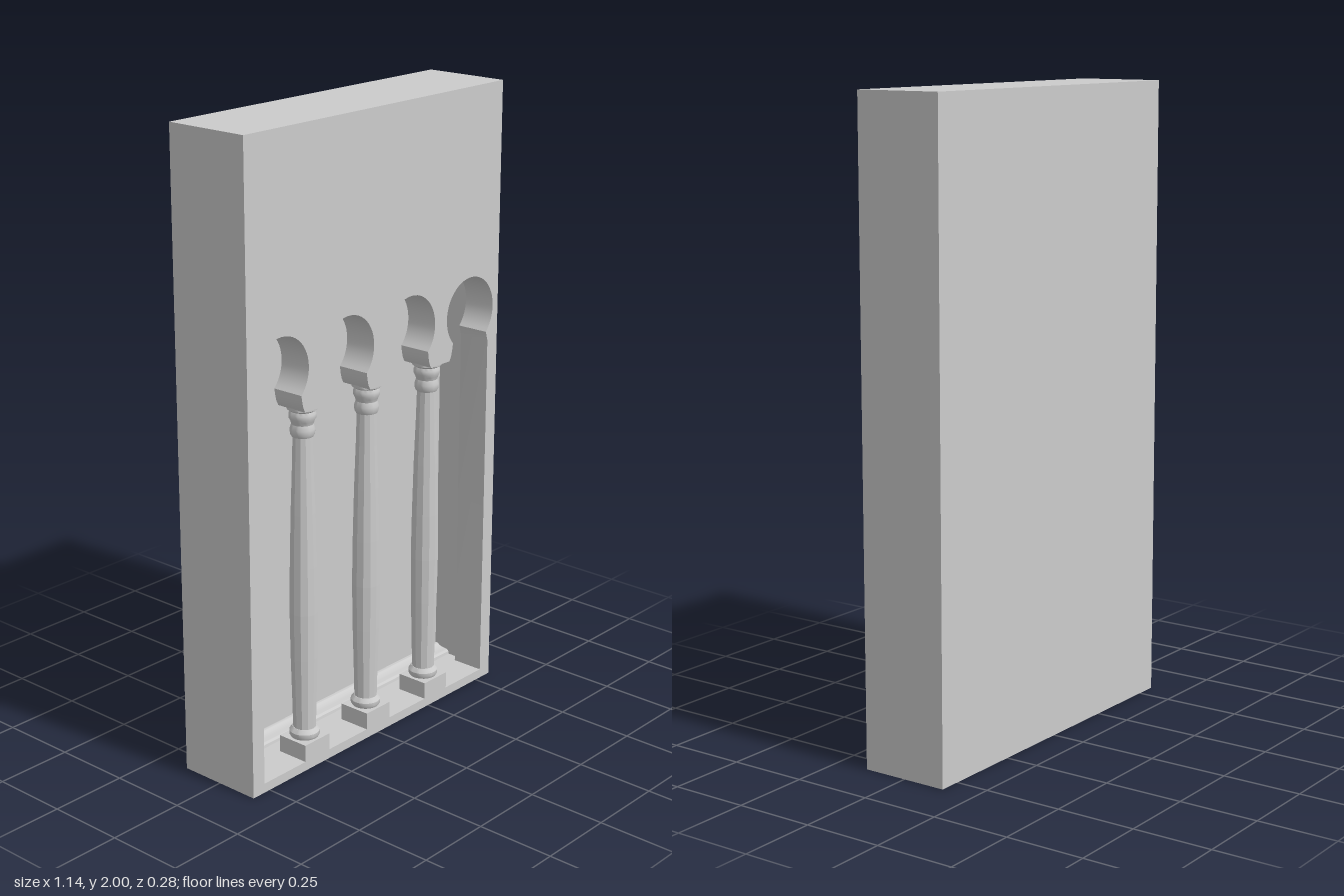
import * as THREE from 'three';
import { toCreasedNormals } from 'three/addons/utils/BufferGeometryUtils.js';

const W = 0.57, H = 2, D = 0.142;             // half width, height, half depth
const SILL = 0.03, PANEL_BACK = 0.035, BACK = -0.07, SIDE = 0.548;
const COLUMNS = [-0.286, 0, 0.286];
const ARCHES = [-0.43, -0.143, 0.143, 0.43];
const ARCH_R = 0.115, ARCH_Y = 1.29, SPRING_Y = 1.21;

const material = new THREE.MeshStandardMaterial({ color: 0xcccccc, side: THREE.DoubleSide });
const faceted = new THREE.MeshStandardMaterial({ color: 0xcccccc, flatShading: true });

function add(group, name, geometry, mat = material) {
  const mesh = new THREE.Mesh(geometry, mat);
  mesh.name = name;
  group.add(mesh);
  return mesh;
}

// Box keeping only the listed sides (0 +x, 1 -x, 2 +y, 3 -y, 4 +z, 5 -z)
function openBox(x, y0, y1, z0, z1, sides) {
  const g = new THREE.BoxGeometry(2 * x, y1 - y0, z1 - z0);
  const index = Array.from(g.index.array);
  g.setIndex(sides.flatMap(s => index.slice(s * 6, s * 6 + 6)));
  g.clearGroups();
  return g.translate(0, (y0 + y1) / 2, (z0 + z1) / 2);
}

// Ruled sheet between two matching rows of points
function ruled(a, b) {
  const index = [];
  for (let i = 0; i < a.length - 1; i++) {
    const j = a.length + i;
    index.push(i, j, i + 1, i + 1, j, j + 1);
  }
  const g = new THREE.BufferGeometry().setFromPoints([...a, ...b]);
  g.setIndex(index);
  return toCreasedNormals(g, 0.5);
}

// Outline of the arcade opening, counter-clockwise from the lower left corner
function openingOutline() {
  const pts = [];
  const p = (x, y) => pts.push(new THREE.Vector2(x, y));
  p(-0.522, SILL);
  for (const x of COLUMNS) {                  // pedestals
    p(x - 0.055, SILL); p(x - 0.055, 0.085);
    p(x + 0.055, 0.085); p(x + 0.055, SILL);
  }
  p(0.522, SILL); p(0.522, 1.18);
  const start = Math.asin((SPRING_Y - ARCH_Y) / ARCH_R), N = 36;
  for (let k = 3; k >= 0; k--) {              // horseshoe arches, right to left
    for (let i = 0; i <= N; i++) {
      const t = start + (Math.PI - 2 * start) * i / N;
      p(ARCHES[k] + ARCH_R * Math.cos(t), ARCH_Y + ARCH_R * Math.sin(t));
    }
    if (k > 0) {                              // impost block between arches
      const c = COLUMNS[k - 1];
      p(c + 0.058, 1.19); p(c + 0.053, 1.17); p(c + 0.045, 1.155);
      p(c - 0.045, 1.155); p(c - 0.053, 1.17); p(c - 0.058, 1.19);
    }
  }
  p(-0.522, 1.18);
  return pts;
}

function pierced(x, y0, y1, hole, z) {
  const s = new THREE.Shape([[-x, y0], [x, y0], [x, y1], [-x, y1]].map(q => new THREE.Vector2(...q)));
  s.holes.push(new THREE.Path(hole));
  return new THREE.ShapeGeometry(s).translate(0, 0, z);
}

const lathe = (profile, sides) =>
  new THREE.LatheGeometry(profile.map(q => new THREE.Vector2(...q)), sides);

function makeColumn() {
  const column = new THREE.Group();
  column.name = 'column';
  add(column, 'columnBase', toCreasedNormals(lathe([
    [0, 0.085], [0.043, 0.085], [0.047, 0.092], [0.047, 0.104],
    [0.042, 0.111], [0.037, 0.117], [0, 0.117]], 32), 0.6));
  add(column, 'columnShaft', lathe([
    [0.036, 0.11], [0.038, 0.2], [0.042, 0.35], [0.044, 0.5],
    [0.042, 0.65], [0.038, 0.82], [0.033, 0.96], [0.03, 1.07]], 12), faceted);
  add(column, 'columnCapital', toCreasedNormals(lathe([
    [0, 1.062], [0.033, 1.062], [0.037, 1.07], [0.038, 1.085], [0.033, 1.1],
    [0.036, 1.11], [0.041, 1.12], [0.041, 1.132], [0.037, 1.141],
    [0.046, 1.147], [0.047, 1.157]], 32), 0.6));
  return column;
}

export function createModel() {
  const model = new THREE.Group();
  model.name = 'arcadePanel';
  const hole = openingOutline();

  // Outer casing, open underneath
  add(model, 'casing', openBox(W, 0, H, -D, D, [0, 1, 2, 5]));

  // Pierced front panel with the thickness of its opening
  add(model, 'frontPanel', pierced(W, 0, H, hole, D));
  add(model, 'frontPanelBack', pierced(SIDE, SILL, 1.44, hole, PANEL_BACK));
  const loop = [...hole, hole[0]];
  const at = z => loop.map(q => new THREE.Vector3(q.x, q.y, z));
  add(model, 'openingReveal', ruled(at(D), at(PANEL_BACK)));

  // Niche behind the arcade
  add(model, 'nicheSides', openBox(SIDE, SILL, 1.44, BACK, PANEL_BACK, [0, 1, 2]));
  const section = [[SILL, D], [SILL, -0.012], [0.039, -0.014], [0.045, -0.02], [0.046, -0.03],
    [0.047, -0.042], [0.051, -0.054], [0.056, -0.06], [0.056, BACK], [1.44, BACK]];
  const row = x => section.map(([y, z]) => new THREE.Vector3(x, y, z));
  add(model, 'floorSkirtingAndBackWall', ruled(row(-SIDE), row(SIDE)));

  // Columns
  for (const x of COLUMNS) {
    const column = makeColumn();
    column.position.set(x, 0, (D + PANEL_BACK) / 2);
    model.add(column);
  }
  return model;
}
